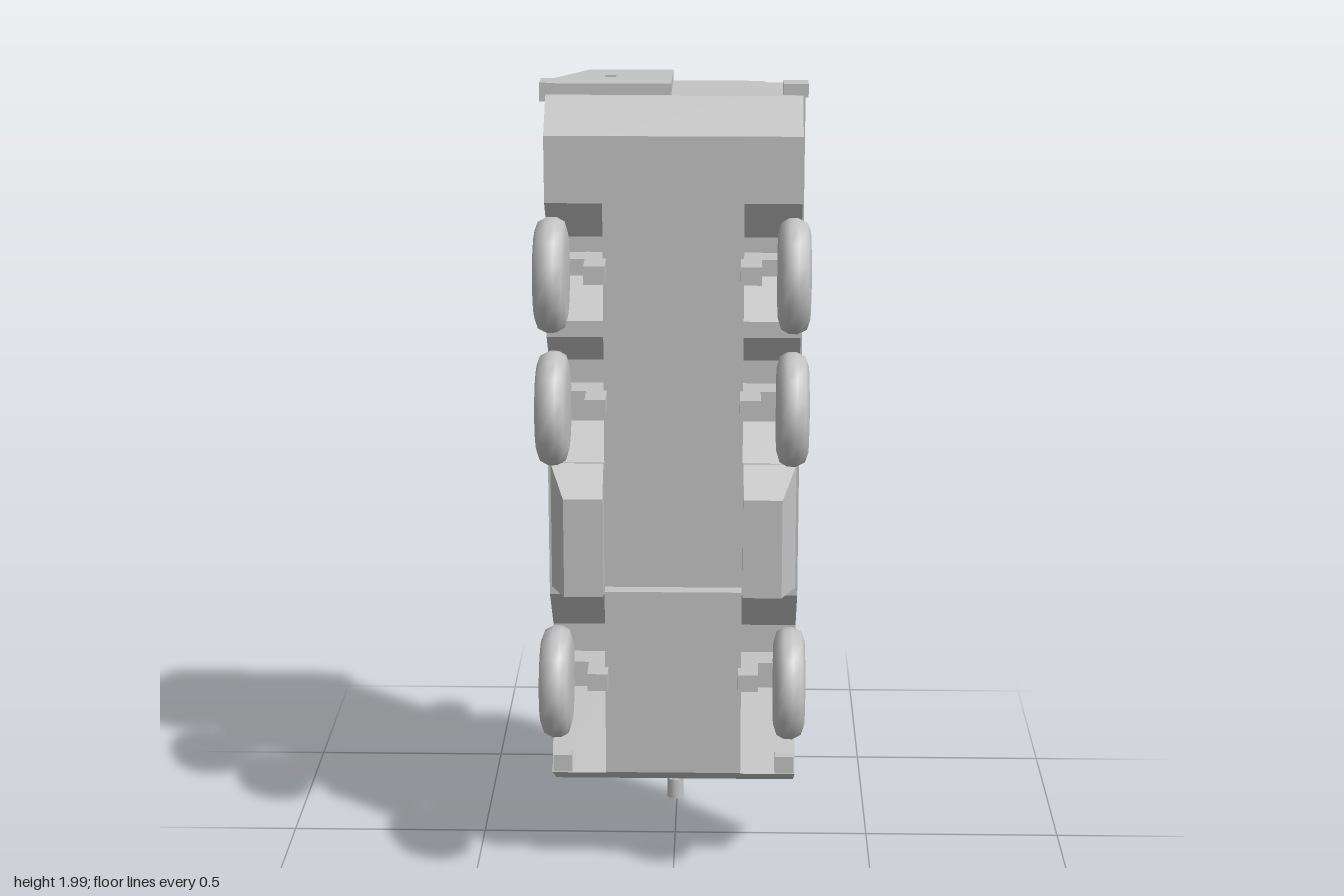
import * as THREE from 'three';
import { ConvexGeometry } from 'three/addons/geometries/ConvexGeometry.js';

// The vehicle stands on its nose: nose towards -y, roof towards -z, belly towards +z.
export function createModel() {
  const model = new THREE.Group();
  model.name = 'armouredVehicle';
  const grey = new THREE.MeshStandardMaterial({ color: 0xc4c4c4 });
  grey.name = 'plain grey';

  const add = (name, geometry, parent = model) => {
    const mesh = new THREE.Mesh(geometry, grey);
    mesh.name = name;
    parent.add(mesh);
    return mesh;
  };
  // Box given by its limits on each axis
  const box = (name, x0, x1, y0, y1, z0, z1) => {
    const mesh = add(name, new THREE.BoxGeometry(x1 - x0, y1 - y0, z1 - z0));
    mesh.position.set((x0 + x1) / 2, (y0 + y1) / 2, (z0 + z1) / 2);
    return mesh;
  };
  const mirrorBox = (name, x0, x1, ...rest) => {
    box(name, x0, x1, ...rest);
    box(name, -x1, -x0, ...rest);
  };
  // Convex solid from half its corners, mirrored in x
  const solid = (name, corners) => add(name, new ConvexGeometry(
    corners.flatMap(([x, y, z]) => [new THREE.Vector3(x, y, z), new THREE.Vector3(-x, y, z)])));
  // Side profile of [z, y] points, extruded from x0 to x1
  const slab = (name, points, x0, x1) => {
    const shape = new THREE.Shape(points.map(([z, y]) => new THREE.Vector2(z, y)));
    const g = new THREE.ExtrudeGeometry(shape, { depth: x1 - x0, bevelEnabled: false });
    g.rotateY(-Math.PI / 2).translate(x1, 0, 0);
    return add(name, g);
  };
  // Cylinder with its axis along z
  const disc = (name, r, x, y, z0, z1, sides = 24) => {
    const mesh = add(name, new THREE.CylinderGeometry(r, r, z1 - z0, sides).rotateX(Math.PI / 2));
    mesh.position.set(x, y, (z0 + z1) / 2);
    return mesh;
  };

  // Hull: sloped upper body, belly and side walls with wheel arches
  solid('upperHull', [
    [0.305, 0.18, 0.06], [0.305, 1.96, 0.06], [0.21, 0.7, -0.107], [0.21, 1.96, -0.107],
  ]);
  solid('driverWedge', [
    [0.13, 0.355, 0.006], [0.15, 0.43, -0.107], [0.21, 0.7, -0.107], [0.17, 0.6, -0.07],
  ]);
  slab('belly', [
    [0.06, 0.18], [0.25, 0.28], [0.25, 0.76], [0.213, 0.76], [0.213, 1.88], [0.12, 1.96], [0.06, 1.96],
  ], -0.168, 0.168);
  const arches = [
    [0.06, 0.18], [0.213, 0.262], [0.1, 0.45], [0.1, 0.62], [0.213, 0.74], [0.213, 1.08],
    [0.122, 1.16], [0.122, 1.315], [0.195, 1.39], [0.195, 1.43], [0.122, 1.53], [0.122, 1.62],
    [0.213, 1.72], [0.213, 1.88], [0.12, 1.96], [0.06, 1.96],
  ];
  slab('sideWall', arches, 0.168, 0.305);
  slab('sideWall', arches, -0.305, -0.168);

  // Bulged lockers between the first and second wheels
  for (const s of [-1, 1]) {
    const p = [
      [0.17, 0.76, 0.2], [0.305, 0.76, 0.2], [0.17, 1.09, 0.2], [0.305, 1.09, 0.2],
      [0.17, 0.76, 0.288], [0.265, 0.76, 0.288], [0.17, 1.01, 0.288], [0.265, 1.01, 0.288],
    ].map(([x, y, z]) => new THREE.Vector3(s * x, y, z));
    add('sideLocker', new ConvexGeometry(p));
  }

  // Wheels with rounded shoulders, on short suspension arms
  const tyre = [
    [0, -0.038], [0.1, -0.038], [0.127, -0.03], [0.137, -0.012], [0.138, 0.008],
    [0.127, 0.03], [0.105, 0.038], [0, 0.042],
  ].map(([r, h]) => new THREE.Vector2(r, h));
  const wheelGeometry = new THREE.LatheGeometry(tyre, 16);
  for (const y of [0.54, 1.24, 1.565]) {
    for (const s of [-1, 1]) {
      const wheel = add('wheel', wheelGeometry);
      wheel.rotation.z = -s * Math.PI / 2;
      wheel.position.set(s * 0.285, y, 0.29);
    }
    mirrorBox('suspensionArm', 0.16, 0.21, y - 0.022, y + 0.022, 0.14, 0.298);
    mirrorBox('axle', 0.2, 0.26, y - 0.02, y + 0.02, 0.135, 0.21);
  }

  // Rear door with handle, and rear corner lamps
  const door = new THREE.Shape([
    [-0.007, -0.103], [-0.21, -0.103], [-0.305, 0.06], [-0.305, 0.11], [-0.007, 0.11],
  ].map(([x, z]) => new THREE.Vector2(x, -z)));
  add('rearDoor', new THREE.ExtrudeGeometry(door, { depth: 0.03, bevelEnabled: false })
    .rotateX(-Math.PI / 2).translate(0, 1.957, 0));
  box('doorHandle', -0.167, -0.142, 1.985, 1.992, -0.012, 0.012);
  box('rearLamp', 0.258, 0.318, 1.955, 1.987, 0.05, 0.107);
  box('rearLamp', -0.322, -0.29, 1.94, 1.985, 0.02, 0.09);

  // Fittings along the sloped sides
  mirrorBox('rearSideBox', 0.2, 0.262, 1.89, 1.957, -0.102, -0.03);
  box('sideBox', 0.2, 0.262, 1.4, 1.46, -0.102, -0.035);
  for (const y of [0.905, 1.12, 1.235, 1.355]) {
    mirrorBox('visionBlock', 0.2, 0.257, y - 0.03, y + 0.03, -0.1, -0.058);
    mirrorBox('visionBlockArm', 0.23, 0.268, y - 0.011, y + 0.011, -0.06, -0.02);
  }
  box('toolRail', 0.28, 0.312, 1.1, 1.95, 0.03, 0.06);
  box('toolBox', 0.268, 0.325, 1.11, 1.195, -0.01, 0.06);
  box('sideLamp', -0.32, -0.28, 1.14, 1.18, 0.025, 0.065);

  // Lamps and tow blocks at the nose
  mirrorBox('headlamp', 0.225, 0.27, 0.235, 0.27, 0.02, 0.05);
  mirrorBox('towBlock', 0.255, 0.302, 0.265, 0.31, 0.16, 0.215);

  // Turret: ring, faceted body and rear stowage bin
  disc('turretRing', 0.2, 0, 0.77, -0.15, -0.1, 32);
  const levels = [
    // z, rear half width, side half width, front half width, rear y, front y
    [-0.143, 0.19, 0.21, 0.09, 1.015, 0.55],
    [-0.188, 0.205, 0.235, 0.1, 1.018, 0.515],
    [-0.283, 0.157, 0.172, 0.085, 1.0, 0.57],
  ];
  solid('turretBody', levels.flatMap(([z, r, w, f, back, front]) => [
    [r, back - 0.02, z], [r * 0.72, back, z], [w, back - 0.1, z], [w, 0.7, z], [f, front, z],
  ]));
  box('stowageBin', -0.15, 0.15, 0.99, 1.08, -0.237, -0.153);

  // Gun with mantlet and muzzle
  solid('mantlet', [
    [0.065, 0.58, -0.19], [0.065, 0.58, -0.275], [0.045, 0.505, -0.2], [0.045, 0.505, -0.265],
  ]);
  const barrel = (name, rTop, rBottom, y0, y1) => {
    const mesh = add(name, new THREE.CylinderGeometry(rTop, rBottom, y1 - y0, 14));
    mesh.position.set(-0.004, (y0 + y1) / 2, -0.232);
  };
  barrel('gunBarrel', 0.021, 0.015, 0.04, 0.5);
  barrel('gunSleeve', 0.03, 0.026, 0.48, 0.52);
  barrel('muzzle', 0.022, 0.022, 0, 0.055);

  // Commander's cupola with periscopes and an open lid
  const cx = -0.09, cy = 0.82;
  disc('cupolaRing', 0.065, cx, cy, -0.311, -0.28);
  disc('cupolaSeat', 0.045, cx, cy, -0.315, -0.3);
  for (let i = 0; i < 10; i++) {
    const a = i / 10 * Math.PI * 2;
    const block = box('periscope', -0.011, 0.011, -0.014, 0.014, -0.01, 0.01);
    block.position.set(cx + Math.cos(a) * 0.065, cy + Math.sin(a) * 0.065, -0.292);
    block.rotation.z = a;
  }
  const lid = add('openLid', new THREE.CylinderGeometry(0.06, 0.06, 0.006, 14));
  lid.position.set(cx, 0.886, -0.37);
  lid.rotation.x = 0.16;

  // Second hatch and sight
  box('flatHatch', 0.032, 0.15, 0.76, 0.88, -0.291, -0.28);
  box('gunSight', 0.045, 0.1, 0.64, 0.69, -0.323, -0.28);

  // Smoke launchers on the turret cheeks
  for (const s of [-1, 1]) {
    const base = box('launcherBase', -0.025, 0.025, -0.025, 0.025, -0.011, 0.011);
    base.position.set(s * 0.237, 0.67, -0.19);
    for (const y of [0.65, 0.685]) {
      const tube = add('launcherTube', new THREE.CylinderGeometry(0.01, 0.01, 0.055, 10));
      tube.position.set(s * 0.258, y - 0.005, -0.215);
      tube.quaternion.setFromUnitVectors(
        new THREE.Vector3(0, 1, 0), new THREE.Vector3(s * 0.6, -0.45, -0.55).normalize());
    }
  }

  return model;
}
